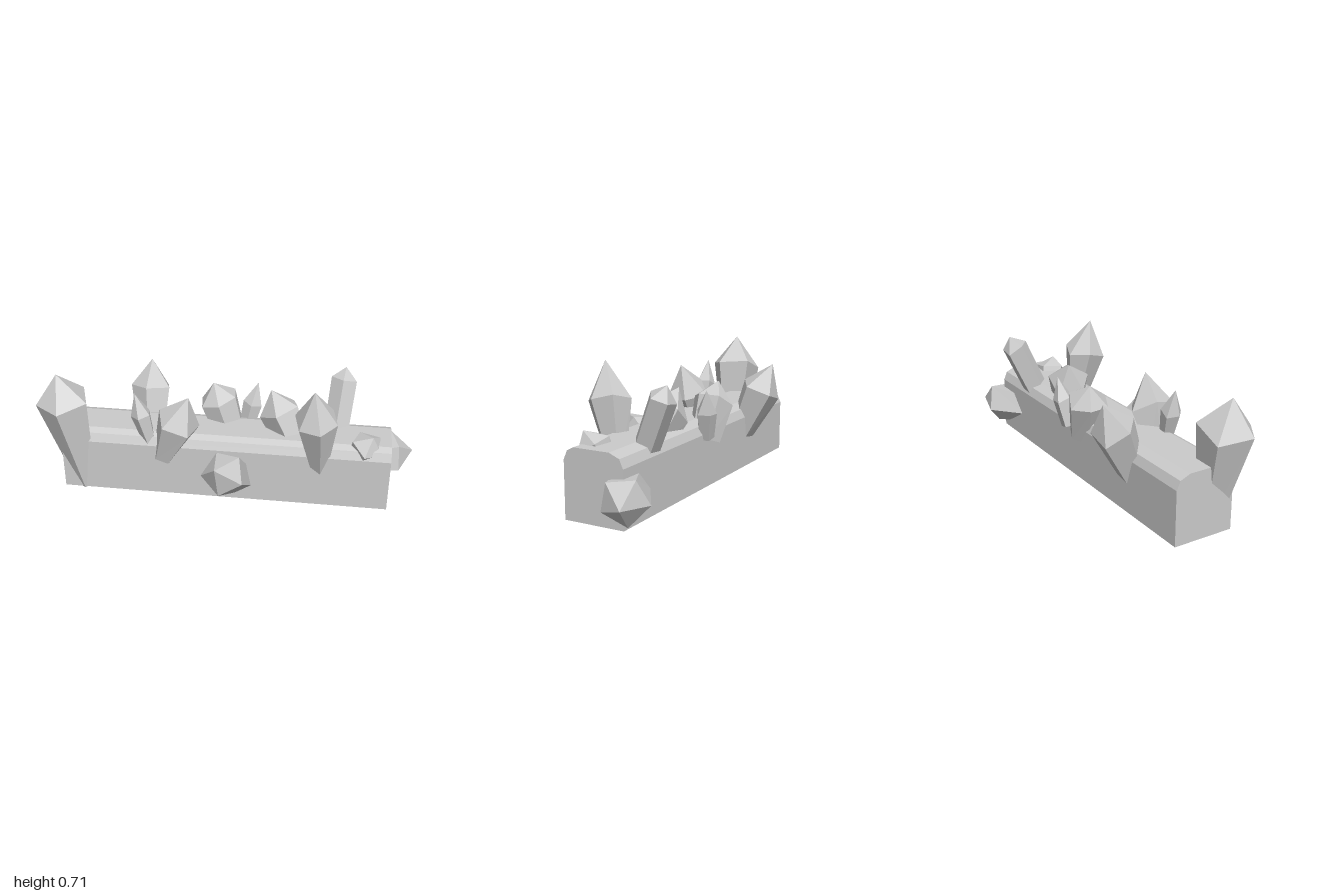
import * as THREE from 'three';

const material = new THREE.MeshStandardMaterial({ color: 0xcccccc, flatShading: true });

// A faceted crystal: prism widening from base to shoulder (a fraction of its length), then a point
function crystal(name, base, tip, radius, taper, shoulder, roll = 0.4, sides = 5) {
  const b = new THREE.Vector3(...base), t = new THREE.Vector3(...tip);
  const axis = t.clone().sub(b).normalize();
  const q = new THREE.Quaternion().setFromUnitVectors(new THREE.Vector3(0, 1, 0), axis);
  const ring = (centre, r, wobble) => Array.from({ length: sides }, (_, i) => {
    const a = roll - (i / sides) * Math.PI * 2;
    return new THREE.Vector3(Math.cos(a) * r, wobble * Math.sin(i * 2.4), Math.sin(a) * r)
      .applyQuaternion(q).add(centre);
  });
  const lo = ring(b, radius * taper, 0);
  const hi = ring(b.clone().lerp(t, shoulder), radius, radius * 0.15);
  const points = [];
  for (let i = 0; i < sides; i++) {
    const j = (i + 1) % sides;
    points.push(lo[i], lo[j], hi[j], lo[i], hi[j], hi[i], hi[i], hi[j], t, b, lo[j], lo[i]);
  }
  const geo = new THREE.BufferGeometry().setFromPoints(points);
  geo.computeVertexNormals();
  const mesh = new THREE.Mesh(geo, material);
  mesh.name = name;
  return mesh;
}

// Long stone beam with bevelled top edges, swept along x
function beam() {
  const profile = new THREE.Shape();
  profile.moveTo(-0.13, 0.013);
  profile.lineTo(0.195, 0.013);
  profile.lineTo(0.195, 0.3);
  profile.lineTo(0.175, 0.345);
  profile.lineTo(0.12, 0.368);
  profile.lineTo(-0.075, 0.368);
  profile.lineTo(-0.11, 0.35);
  profile.lineTo(-0.13, 0.305);
  const geo = new THREE.ExtrudeGeometry(profile, { depth: 1.76, bevelEnabled: false });
  geo.rotateY(Math.PI / 2).translate(-0.9, 0, 0);
  const mesh = new THREE.Mesh(geo, material);
  mesh.name = 'beam';
  return mesh;
}

export function createModel() {
  const group = new THREE.Group();
  group.name = 'crystalBeam';
  const add = (...args) => group.add(crystal(...args));
  group.add(beam());

  // Crystals along the front edge
  add('cornerCrystal', [-0.79, 0.01, 0.08], [-0.9, 0.685, 0.105], 0.145, 0.38, 0.76, 0.3);
  add('thinFrontCrystal', [-0.42, 0.31, 0.09], [-0.49, 0.595, 0.09], 0.055, 0.65, 0.56);
  add('frontLeftCrystal', [-0.35, 0.22, 0.09], [-0.2, 0.6, 0.11], 0.12, 0.5, 0.58, 0.9);
  add('frontCrystal', [0.06, 0.12, 0.09], [-0.03, 0.335, 0.37], 0.12, 0.7, 0.64, 0.6);
  add('tallFrontCrystal', [0.49, 0.18, 0.08], [0.45, 0.71, 0.17], 0.115, 0.35, 0.66, 0.3, 6);
  add('smallEndCrystal', [0.7, 0.27, 0.02], [0.76, 0.425, 0.09], 0.09, 0.75, 0.6);

  // Crystals along the top and back edge
  add('backLeftCrystal', [-0.46, 0.2, -0.14], [-0.48, 0.6, -0.32], 0.115, 0.65, 0.64);
  add('backMiddleCrystal', [-0.01, 0.25, -0.14], [-0.11, 0.55, -0.17], 0.11, 0.8, 0.7, 0.4, 6);
  add('thinBackCrystal', [0.07, 0.28, -0.19], [0.13, 0.54, -0.225], 0.055, 0.8, 0.54);
  add('topCrystal', [0.34, 0.3, -0.04], [0.21, 0.56, -0.11], 0.115, 0.8, 0.58);
  add('tallBackCrystal', [0.56, 0.25, -0.1], [0.6, 0.645, -0.27], 0.072, 0.95, 0.84);

  // Crystal growing past the end, and a root poking through the underside
  add('sideCrystal', [0.65, 0.17, -0.11], [1, 0.155, -0.265], 0.12, 0.7, 0.66, 0.7);
  add('undersideRoot', [0.38, 0.002, -0.09], [0.38, 0.1, -0.09], 0.055, 0.75, 0.5);
  return group;
}
